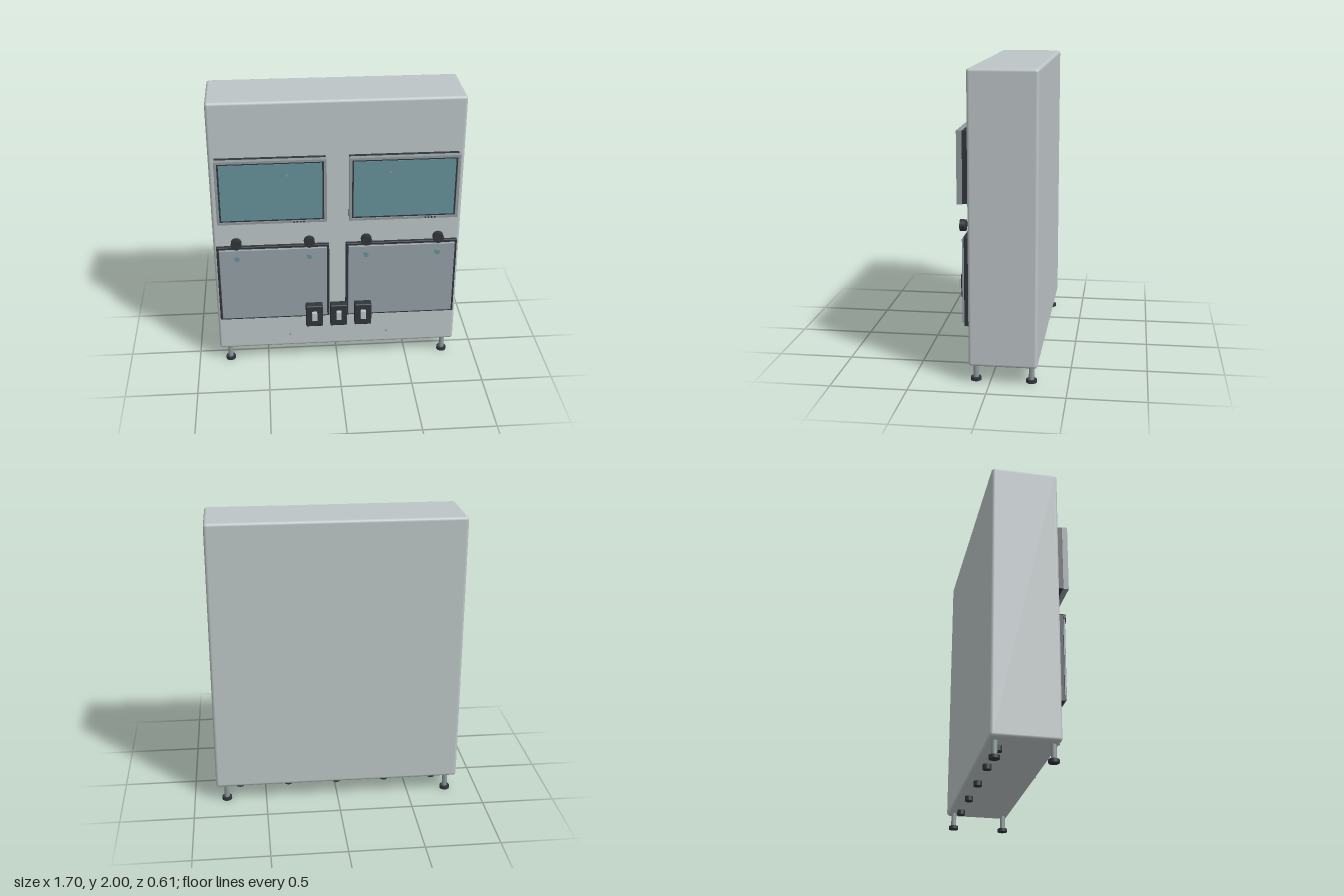
import * as THREE from 'three';
import { RoundedBoxGeometry } from 'three/addons/geometries/RoundedBoxGeometry.js';

const material = (name, color) => {
  const m = new THREE.MeshStandardMaterial({ color });
  m.name = name;
  return m;
};

export function createModel() {
  const model = new THREE.Group();
  model.name = 'controlCabinet';
  const shell = material('pale grey shell', 0xbdc5c6);
  const dark = material('charcoal', 0x31363c);
  const steel = material('steel grey', 0x8f999c);
  const panelGrey = material('panel grey', 0x949fa6);
  const teal = material('teal glass', 0x659199);

  const add = (parent, name, geometry, mat, x, y, z) => {
    const mesh = new THREE.Mesh(geometry, mat);
    mesh.name = name;
    mesh.position.set(x, y, z);
    parent.add(mesh);
    return mesh;
  };
  // Boxes are given by centre x, y, their size, and back and front z
  const box = (parent, name, mat, x, y, w, h, z0, z1, r = 0) => {
    const d = z1 - z0;
    const g = r ? new RoundedBoxGeometry(w, h, d, 3, r) : new THREE.BoxGeometry(w, h, d);
    return add(parent, name, g, mat, x, y, (z0 + z1) / 2);
  };
  // Round parts whose axis points to the front
  const disc = (parent, name, mat, x, y, r, z0, z1, sides = 16) => {
    const g = new THREE.CylinderGeometry(r, r, z1 - z0, sides).rotateX(Math.PI / 2);
    return add(parent, name, g, mat, x, y, (z0 + z1) / 2);
  };
  // Upright round parts
  const post = (parent, name, mat, x, z, r, y0, y1) =>
    add(parent, name, new THREE.CylinderGeometry(r, r, y1 - y0, 20), mat, x, (y0 + y1) / 2, z);
  const group = (name, x = 0) => {
    const g = new THREE.Group();
    g.name = name;
    g.position.x = x;
    model.add(g);
    return g;
  };

  // Cabinet body
  box(model, 'cabinetBody', shell, 0, 1.0575, 1.696, 1.885, -0.305, 0.135, 0.02);

  // Hollow bezel shared by both displays
  const W = 0.735, H = 0.46, w = 0.699, h = 0.428;
  const bezel = new THREE.Shape();
  bezel.moveTo(-W / 2, -H / 2).lineTo(W / 2, -H / 2).lineTo(W / 2, H / 2).lineTo(-W / 2, H / 2).closePath();
  const opening = new THREE.Path();
  opening.moveTo(-w / 2, -h / 2).lineTo(-w / 2, h / 2).lineTo(w / 2, h / 2).lineTo(w / 2, -h / 2).closePath();
  bezel.holes.push(opening);
  const bezelGeometry = new THREE.ExtrudeGeometry(bezel, { depth: 0.035, bevelEnabled: false });

  for (const side of [-1, 1]) {
    // Display with housing, bezel, screen, buttons and lamp
    const display = group('display', side * 0.4425);
    box(display, 'displayHousing', dark, 0, 1.39, 0.73, 0.455, 0.13, 0.17);
    add(display, 'displayBezel', bezelGeometry, steel, 0, 1.39, 0.17);
    box(display, 'screenSurround', dark, 0, 1.39, w, h, 0.165, 0.197);
    box(display, 'screen', teal, 0, 1.39, w - 0.022, h - 0.022, 0.195, 0.2);
    for (let i = 0; i < 4; i++)
      disc(display, 'displayButton', dark, 0.147 + i * 0.022, 1.168, 0.006, 0.203, 0.208, 10);
    disc(display, 'displayLamp', teal, -0.278, 1.168, 0.004, 0.203, 0.207, 8);

    // Lower door panel on a dark backing
    const door = group('doorPanel', side * 0.443);
    box(door, 'doorBacking', dark, 0, 0.668, 0.772, 0.585, 0.13, 0.16, 0.005);
    box(door, 'doorSheet', panelGrey, 0, 0.668, 0.738, 0.55, 0.155, 0.175, 0.004);

    // Knobs with indicator lamps beneath
    for (const x of [0.195, 0.69]) {
      disc(model, 'knob', dark, side * x, 1.0, 0.037, 0.165, 0.205, 20);
      disc(model, 'indicatorLamp', teal, side * x, 0.88, 0.018, 0.17, 0.187, 20);
    }

    // Small fixing screws
    for (const y of [1.53, 0.285])
      disc(model, 'fixingScrew', steel, side * 0.34, y, 0.007, 0.24, 0.246, 10);

    // Levelling legs
    for (const z of [0.095, -0.263]) {
      post(model, 'leg', steel, side * 0.775, z, 0.018, 0.015, 0.12);
      post(model, 'foot', dark, side * 0.775, z, 0.034, 0, 0.022);
    }
  }

  // Row of switch boxes
  for (const x of [-0.17, 0, 0.17]) {
    const unit = group('switchBox', x);
    box(unit, 'switchHousing', dark, 0, 0.454, 0.118, 0.166, 0.224, 0.285, 0.008);
    box(unit, 'switchLever', shell, 0, 0.462, 0.036, 0.066, 0.28, 0.307, 0.003);
  }

  // Cable glands under the rear edge
  for (let i = -2; i <= 2; i++)
    post(model, 'cableGland', dark, i * 0.34, -0.225, 0.028, 0.082, 0.12);

  return model;
}
